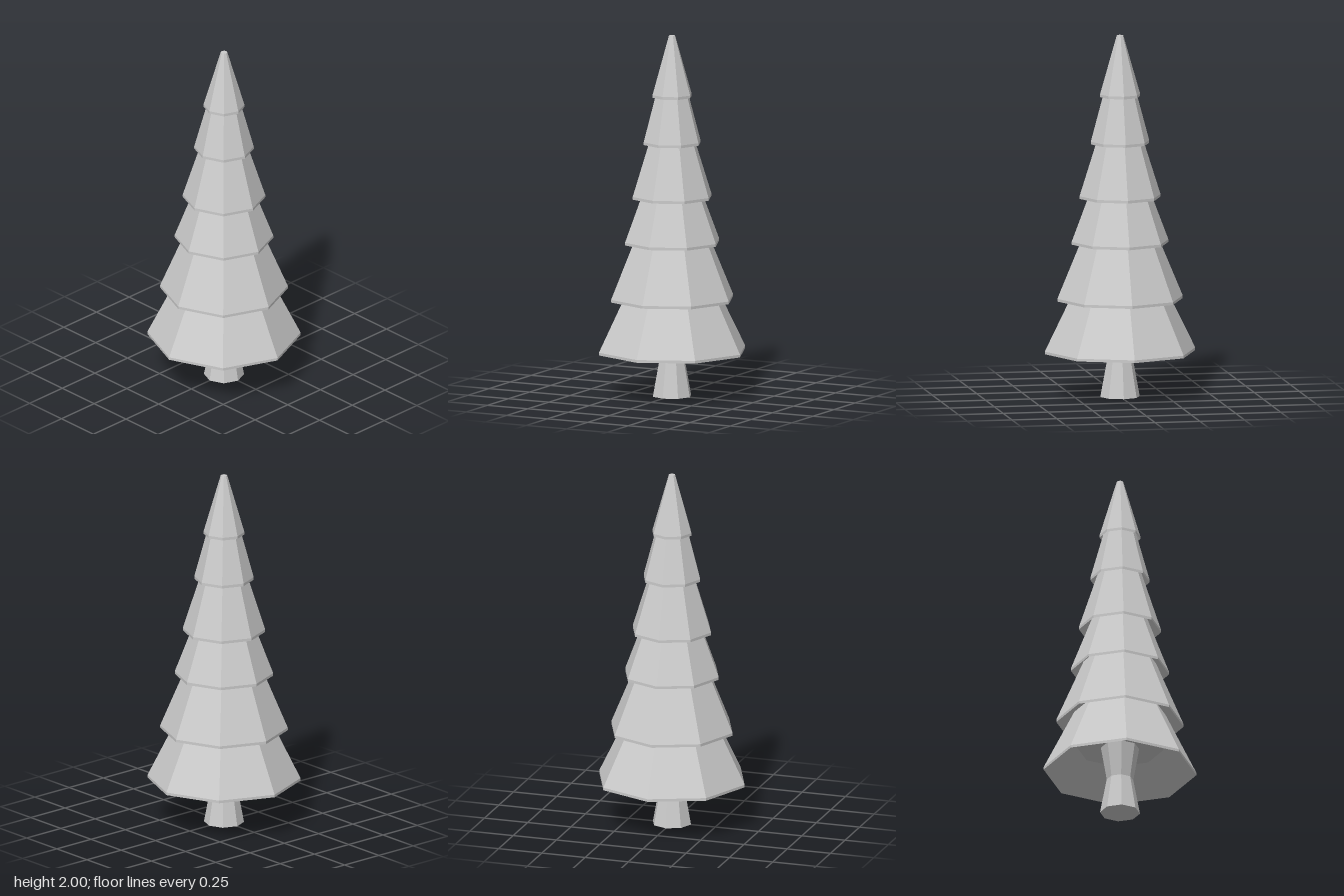
import * as THREE from 'three';

const SIDES = 8;
const material = new THREE.MeshStandardMaterial({ color: 0xcccccc, flatShading: true });

// Eight-sided solid of revolution from [radius, height] pairs
function octagonal(name, profile) {
  const points = profile.map(([r, y]) => new THREE.Vector2(r, y));
  const mesh = new THREE.Mesh(new THREE.LatheGeometry(points, SIDES), material);
  mesh.name = name;
  return mesh;
}

export function createModel() {
  const tree = new THREE.Group();
  tree.name = 'pineTree';

  // Trunk: flared foot, narrow waist, widening into the foliage
  tree.add(octagonal('trunk', [[0, 0], [0.11, 0], [0.073, 0.2], [0.107, 0.4], [0, 0.4]]));

  // Foliage tiers: rim height, rim radius, neck radius at the next rim, hollow depth
  const tiers = [
    [0.245, 0.42, 0.284, 0.145],
    [0.535, 0.35, 0.225, 0.1],
    [0.848, 0.27, 0.18, 0.1],
    [1.1, 0.226, 0.135, 0.1],
    [1.4, 0.163, 0.097, 0.1],
    [1.66, 0.112, 0.018, 0.1],
  ];
  tiers.forEach(([y, r, neck, hollow], i) => {
    const lip = y + 0.015;
    const profile = [[0, y + hollow], [0.57 * r, y + hollow], [r, y], [r, lip]];
    if (i < tiers.length - 1) {
      // Run the cone on into the hollow of the tier above
      const next = tiers[i + 1][0];
      const slope = (r - neck) / (next - lip);
      profile.push([neck - slope * 0.11, next + 0.11], [0, next + 0.11]);
    } else {
      profile.push([neck, 2], [0, 2]);
    }
    tree.add(octagonal(`foliageTier${i + 1}`, profile));
  });

  return tree;
}
